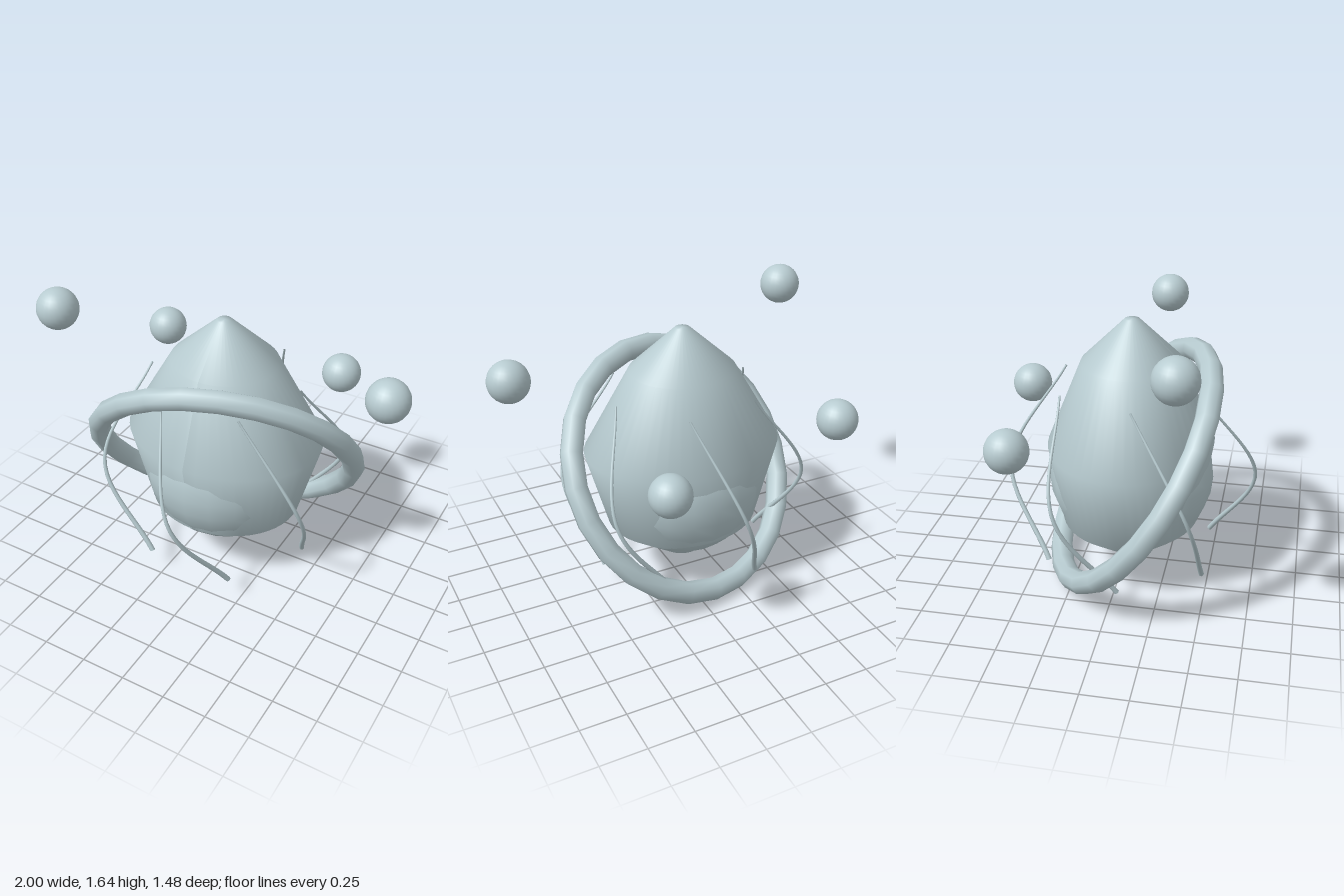
import * as THREE from 'three';

const paleBlue = new THREE.MeshStandardMaterial({ color: 0xb8ccd1, side: THREE.DoubleSide });
paleBlue.name = 'paleBlueGrey';

// Shared vertical axis of the body, ring and tendrils
const CX = -0.07, CZ = 0.045;

function addMesh(parent, name, geometry, x = 0, y = 0, z = 0) {
  const mesh = new THREE.Mesh(geometry, paleBlue);
  mesh.name = name;
  mesh.position.set(x, y, z);
  parent.add(mesh);
  return mesh;
}

// Pod-shaped body with an oval plan: [height, half width in x, half depth in z]
function bodyGeometry() {
  const levels = [[0.14, 0.125, 0.12], [0.37, 0.44, 0.385], [0.83, 0.57, 0.457], [1.285, 0.30, 0.275], [1.52, 0.04, 0.04]];
  const profile = levels.map(([y, rx]) => new THREE.Vector2(rx, y));
  profile.unshift(new THREE.Vector2(0, 0.14));
  profile.push(new THREE.Vector2(0, 1.52));
  const geometry = new THREE.LatheGeometry(profile, 48);
  const pos = geometry.attributes.position;
  for (let i = 0; i < pos.count; i++) {
    const [, rx, rz] = levels.find(l => Math.abs(l[0] - pos.getY(i)) < 1e-4);
    pos.setZ(i, pos.getZ(i) * rz / rx);
  }
  geometry.computeVertexNormals();
  return geometry;
}

// Thin tube that bows outwards and thickens towards its lower end
function tendrilGeometry(turn) {
  const points = [[1.17, 0.43, 111], [0.64, 0.69, 86], [0.14, 0.5, 59]].map(([y, r, deg]) => {
    const a = THREE.MathUtils.degToRad(deg) + turn;
    return new THREE.Vector3(r * Math.cos(a), y, r * Math.sin(a));
  });
  const curve = new THREE.CatmullRomCurve3(points);
  const steps = 24, sides = 8;
  const geometry = new THREE.TubeGeometry(curve, steps, 1, sides);
  const pos = geometry.attributes.position;
  const v = new THREE.Vector3();
  for (let i = 0; i <= steps; i++) {
    const centre = curve.getPointAt(i / steps);
    const radius = 0.006 + 0.009 * i / steps;
    for (let j = 0; j <= sides; j++) {
      const k = i * (sides + 1) + j;
      v.fromBufferAttribute(pos, k).sub(centre).multiplyScalar(radius).add(centre);
      pos.setXYZ(k, v.x, v.y, v.z);
    }
  }
  return geometry;
}

export function createModel() {
  const model = new THREE.Group();
  model.name = 'ringedPod';

  addMesh(model, 'body', bodyGeometry(), CX, 0, CZ);

  // Core swelling through the front and back of the body
  addMesh(model, 'core', new THREE.SphereGeometry(0.46, 20, 14), CX, 0.625, CZ);

  // Tilted ring around the body
  const ring = addMesh(model, 'ring', new THREE.TorusGeometry(0.73, 0.064, 8, 24), CX, 0.672, CZ);
  ring.rotation.set(0.615, 0.27, 0);

  // Six tendrils spaced evenly around the axis
  const tendrils = new THREE.Group();
  tendrils.name = 'tendrils';
  tendrils.position.set(CX, 0, CZ);
  model.add(tendrils);
  for (let i = 0; i < 6; i++) addMesh(tendrils, 'tendril', tendrilGeometry(i * Math.PI / 3));

  // Floating orbs
  const orbs = new THREE.Group();
  orbs.name = 'orbs';
  model.add(orbs);
  const orb = new THREE.SphereGeometry(0.114, 24, 16);
  for (const [x, y, z] of [[-0.886, 1.53, 0.39], [0.886, 1.367, 0.11], [-0.765, 1.04, -0.455], [0.327, 0.943, -0.627]]) {
    addMesh(orbs, 'orb', orb, x, y, z);
  }

  return model;
}
